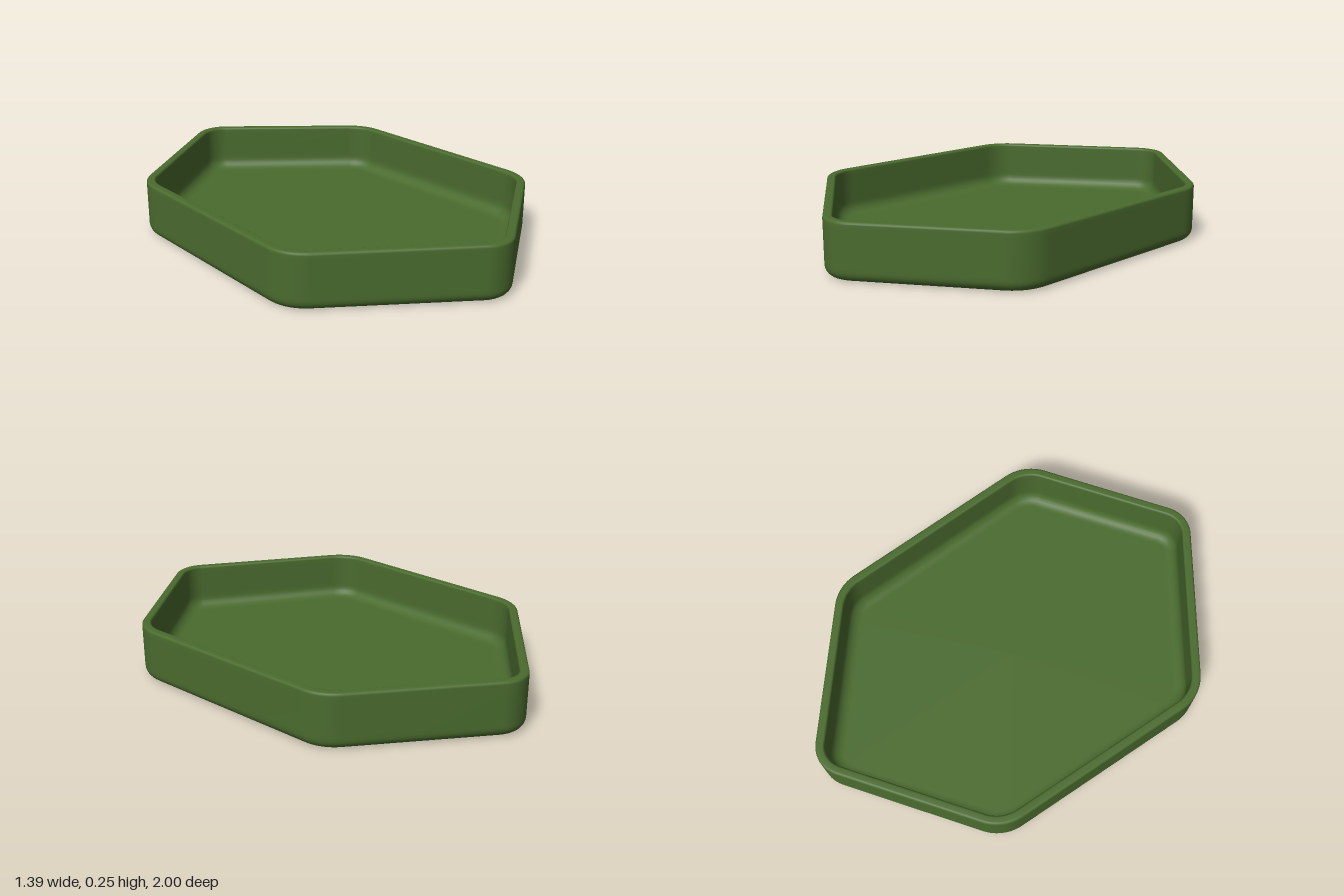
import * as THREE from 'three';

// Hexagonal plan corners: x, z, rounding radius (front, right side, back, left side)
const CORNERS = [
  [0.05, 1.028, 0.14], [0.7, 0.535, 0.2], [0.65, -0.52, 0.2],
  [-0.01, -1.037, 0.14], [-0.69, -0.51, 0.2], [-0.69, 0.535, 0.2],
];
const ARC_STEPS = 12;

// Rounded outline as points with outward normals
function makeOutline() {
  const pts = CORNERS.map(([x, z]) => new THREE.Vector2(x, z));
  const n = pts.length;
  const edgeNormal = (a, b) => {
    const u = b.clone().sub(a).normalize();
    return new THREE.Vector2(-u.y, u.x);
  };
  const outline = [];
  pts.forEach((p, i) => {
    const r = CORNERS[i][2];
    const n1 = edgeNormal(pts[(i + n - 1) % n], p);
    const n2 = edgeNormal(p, pts[(i + 1) % n]);
    const centre = p.clone().addScaledVector(n1.clone().add(n2), -r / (1 + n1.dot(n2)));
    const start = Math.atan2(n1.y, n1.x);
    const turn = Math.atan2(n1.cross(n2), n1.dot(n2));
    for (let k = 0; k <= ARC_STEPS; k++) {
      const a = start + (turn * k) / ARC_STEPS;
      const normal = new THREE.Vector2(Math.cos(a), Math.sin(a));
      outline.push({ point: centre.clone().addScaledVector(normal, r), normal });
    }
  });
  return outline;
}

// Wall section as [inset, y], from the underside, over the rim, to the floor
function makeSection() {
  const section = [];
  const arc = (cx, cy, r, from, to, steps) => {
    for (let k = 0; k <= steps; k++) {
      const a = THREE.MathUtils.degToRad(from + ((to - from) * k) / steps);
      section.push([cx + r * Math.cos(a), cy + r * Math.sin(a)]);
    }
  };
  section.push([0.06, 0]);
  arc(0.045, 0.045, 0.045, 270, 180, 6); // soft bottom edge
  section.push([0, 0.06], [0, 0.22]);
  arc(0.012, 0.236, 0.012, 180, 90, 4); // outer rim edge
  arc(0.03, 0.238, 0.01, 90, 0, 4); // inner rim edge
  section.push([0.04, 0.22], [0.04, 0.1]);
  arc(0.09, 0.085, 0.05, 180, 270, 6); // inner floor fillet
  section.push([0.105, 0.035]);
  return section;
}

function makeTrayGeometry() {
  const outline = makeOutline();
  const section = makeSection();
  const m = outline.length;
  const positions = [];
  const index = [];
  section.forEach(([inset, y]) => outline.forEach(({ point, normal }) => {
    positions.push(point.x - normal.x * inset, y, point.y - normal.y * inset);
  }));
  const under = section.length * m;
  positions.push(0, 0, 0, 0, section[section.length - 1][1], 0);
  const last = (section.length - 1) * m;
  for (let i = 0; i < m; i++) {
    const next = (i + 1) % m;
    for (let j = 0; j < section.length - 1; j++) {
      const a = j * m + i;
      const b = j * m + next;
      index.push(a, b, b + m, a, b + m, a + m);
    }
    // underside and floor
    index.push(under, next, i);
    index.push(last + i, last + next, under + 1);
  }
  const geometry = new THREE.BufferGeometry();
  geometry.setAttribute('position', new THREE.Float32BufferAttribute(positions, 3));
  geometry.setIndex(index);
  geometry.computeVertexNormals();
  return geometry;
}

export function createModel() {
  const green = new THREE.MeshStandardMaterial({ color: 0x4a6b2e });
  green.name = 'moss green';
  const group = new THREE.Group();
  group.name = 'hexagonalTray';
  const tray = new THREE.Mesh(makeTrayGeometry(), green);
  tray.name = 'trayShell';
  group.add(tray);
  return group;
}
